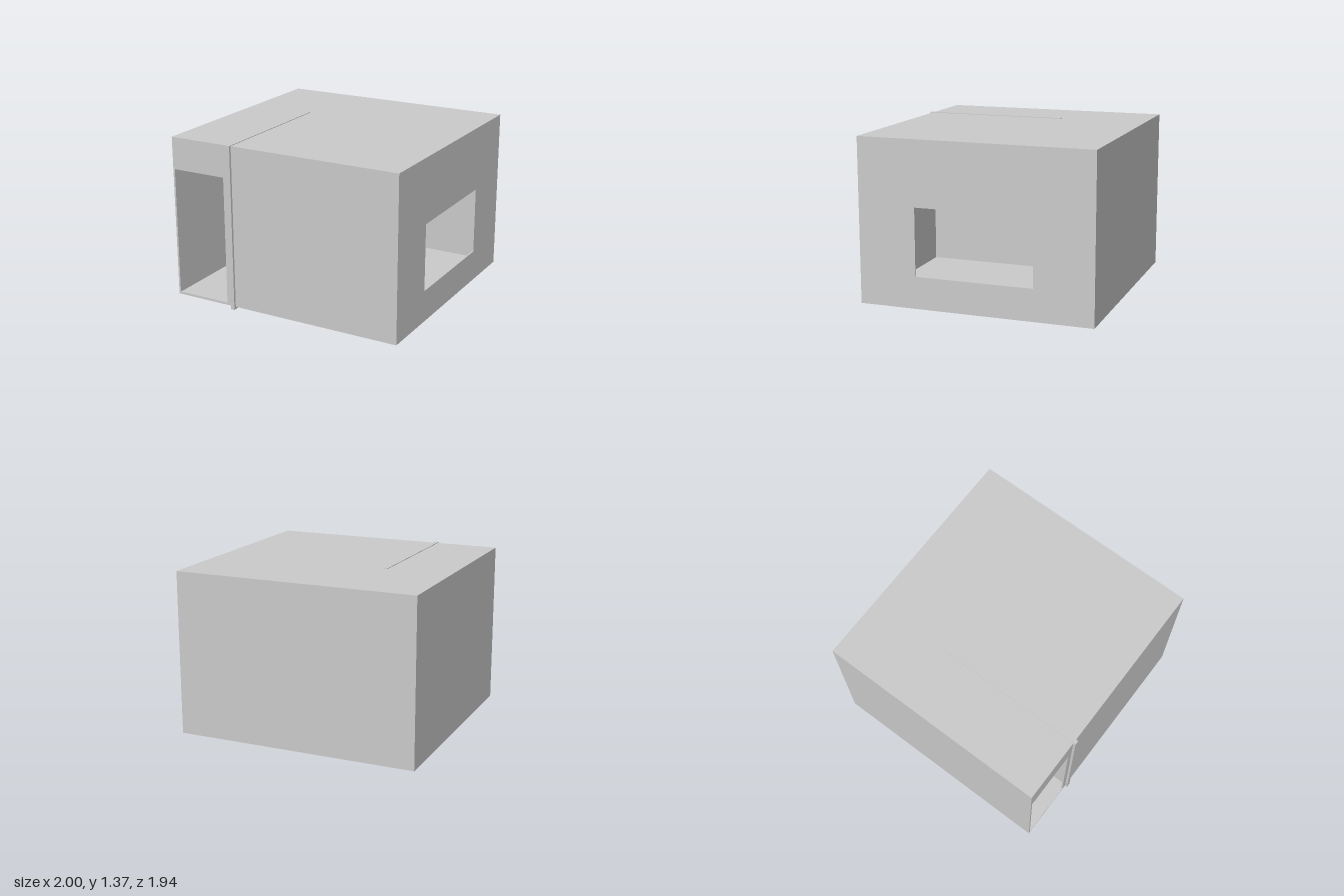
import * as THREE from 'three';

const material = new THREE.MeshStandardMaterial({ color: 0xcccccc, flatShading: true });

// Outer limits of the room and its wall thickness
const X = 1, BACK = -0.97, FRONT = 0.95, BOTTOM = 0.02, TOP = 1.36, T = 0.012, SLAB = 0.015;

function add(group, name, geometry) {
  const mesh = new THREE.Mesh(geometry, material);
  mesh.name = name;
  group.add(mesh);
  return mesh;
}

// Box given by its lower and upper limits on each axis
function block(group, name, [x0, x1], [y0, y1], [z0, z1]) {
  const mesh = add(group, name, new THREE.BoxGeometry(x1 - x0, y1 - y0, z1 - z0));
  mesh.position.set((x0 + x1) / 2, (y0 + y1) / 2, (z0 + z1) / 2);
  return mesh;
}

// Rectangular outline, usable as a shape or as a hole
function rect(Type, u0, u1, v0, v1) {
  return new Type([[u0, v0], [u1, v0], [u1, v1], [u0, v1]].map(p => new THREE.Vector2(...p)));
}

// Thin wall with one rectangular opening
function openWall(group, name, outline, opening) {
  const shape = rect(THREE.Shape, ...outline);
  shape.holes.push(rect(THREE.Path, ...opening));
  return add(group, name, new THREE.ExtrudeGeometry(shape, { depth: T, bevelEnabled: false }));
}

export function createModel() {
  const room = new THREE.Group();
  room.name = 'room';
  const low = BOTTOM + SLAB, high = TOP - SLAB;

  // Floor and roof slabs
  block(room, 'floor', [-X, X], [BOTTOM, low], [BACK, FRONT]);
  block(room, 'roof', [-X, X], [high, TOP], [BACK, FRONT]);

  // Solid walls
  block(room, 'backWall', [-X, X], [low, high], [BACK, BACK + T]);
  block(room, 'rightWall', [-X, -X + T], [low, high], [BACK + T, FRONT - T]);

  // Front wall with the doorway
  const front = openWall(room, 'frontWall', [-X, X, low, high], [-0.985, -0.52, 0.04, 1.095]);
  front.position.z = FRONT - T;

  // Side wall with the window; its outline runs along -z
  const side = openWall(room, 'windowWall', [-FRONT + T, -BACK - T, low, high], [-0.475, 0.49, 0.28, 0.83]);
  side.rotation.y = Math.PI / 2;
  side.position.x = X - T;

  // Partition beside the doorway, standing slightly proud of the shell
  block(room, 'partition', [-0.475, -0.44], [0, 1.365], [-0.24, 0.97]);

  return room;
}
